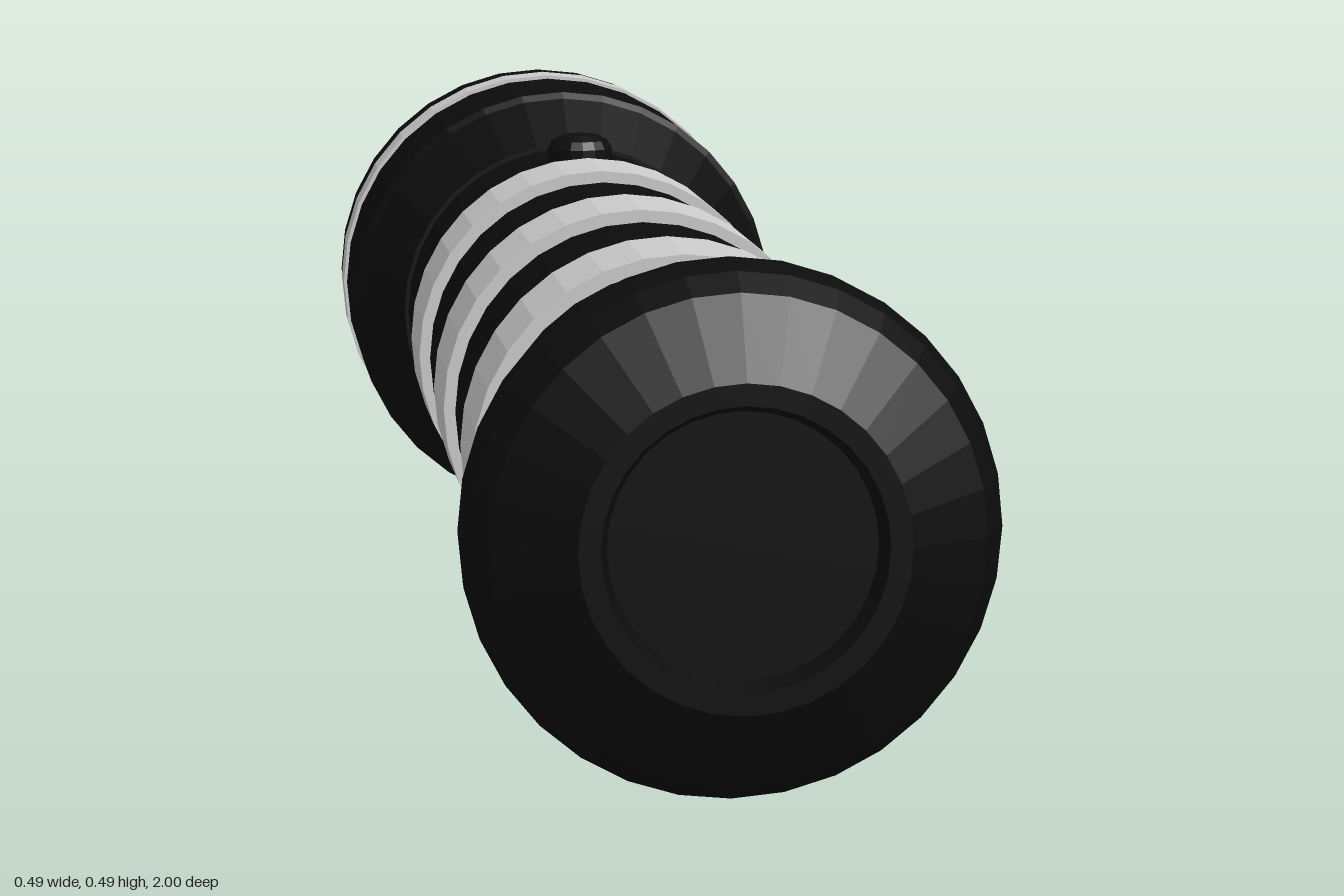
import * as THREE from 'three';

const SIDES = 32;
const AXIS_Y = 0.247;

export function createModel() {
  const group = new THREE.Group();
  const black = new THREE.MeshStandardMaterial({ color: 0x0c0c0c, flatShading: true });
  const grey = new THREE.MeshStandardMaterial({ color: 0xcccccc, flatShading: true });

  // Turned part lying along z; profile is [radius, z] from back to front
  function turned(name, profile, material) {
    const points = profile.map(([r, z]) => new THREE.Vector2(r, z));
    const geometry = new THREE.LatheGeometry(points, SIDES).rotateX(Math.PI / 2);
    const mesh = new THREE.Mesh(geometry, material);
    mesh.name = name;
    mesh.position.y = AXIS_Y;
    group.add(mesh);
  }

  // Ring standing proud of the core
  function ring(name, z0, z1, radius, inner) {
    turned(name, [[inner, z0], [radius, z0], [radius, z1], [inner, z1]], grey);
  }

  // Head with recessed lens, groove for the trim ring and tapered neck
  turned('head', [
    [0, -0.97], [0.16, -0.97], [0.167, -1], [0.195, -1], [0.215, -0.982], [0.228, -0.96],
    [0.237, -0.925], [0.243, -0.89], [0.243, -0.835], [0.235, -0.835], [0.235, -0.755],
    [0.243, -0.755], [0.243, -0.57], [0.236, -0.563], [0.19, -0.49], [0.178, -0.49],
  ], black);
  ring('headRing', -0.82, -0.768, 0.246, 0.234);

  // Grip: sleeves separated by grooves, each groove holding a band
  const bands = [[-0.276, -0.138], [0.086, 0.228], [0.448, 0.588]];
  const core = 0.178, sleeve = 0.186, gap = 0.02;
  const grip = [[core, -0.5], [core, -0.485], [sleeve, -0.485]];
  for (const [z0, z1] of bands) {
    grip.push([sleeve, z0 - gap], [core, z0 - gap], [core, z1 + gap], [sleeve, z1 + gap]);
    ring('gripBand', z0, z1, 0.196, core - 0.002);
  }
  grip.push([sleeve, 0.81]);
  turned('grip', grip, black);

  // Flared tail cap with a shallow recess in its end
  turned('tailCap', [
    [0.184, 0.8], [0.205, 0.83], [0.222, 0.86], [0.231, 0.885], [0.232, 0.91],
    [0.225, 0.935], [0.21, 0.96], [0.14, 1], [0.121, 1], [0.114, 0.98], [0, 0.98],
  ], black);

  // Domed switch on top of the grip
  const dome = [[0.036, 0], [0.036, 0.02], [0.031, 0.029], [0.019, 0.035], [0, 0.037]];
  const button = new THREE.Mesh(
    new THREE.LatheGeometry(dome.map(([r, y]) => new THREE.Vector2(r, y)), 16), black);
  button.name = 'switchButton';
  button.position.set(0, AXIS_Y + 0.178, -0.37);
  group.add(button);

  return group;
}
